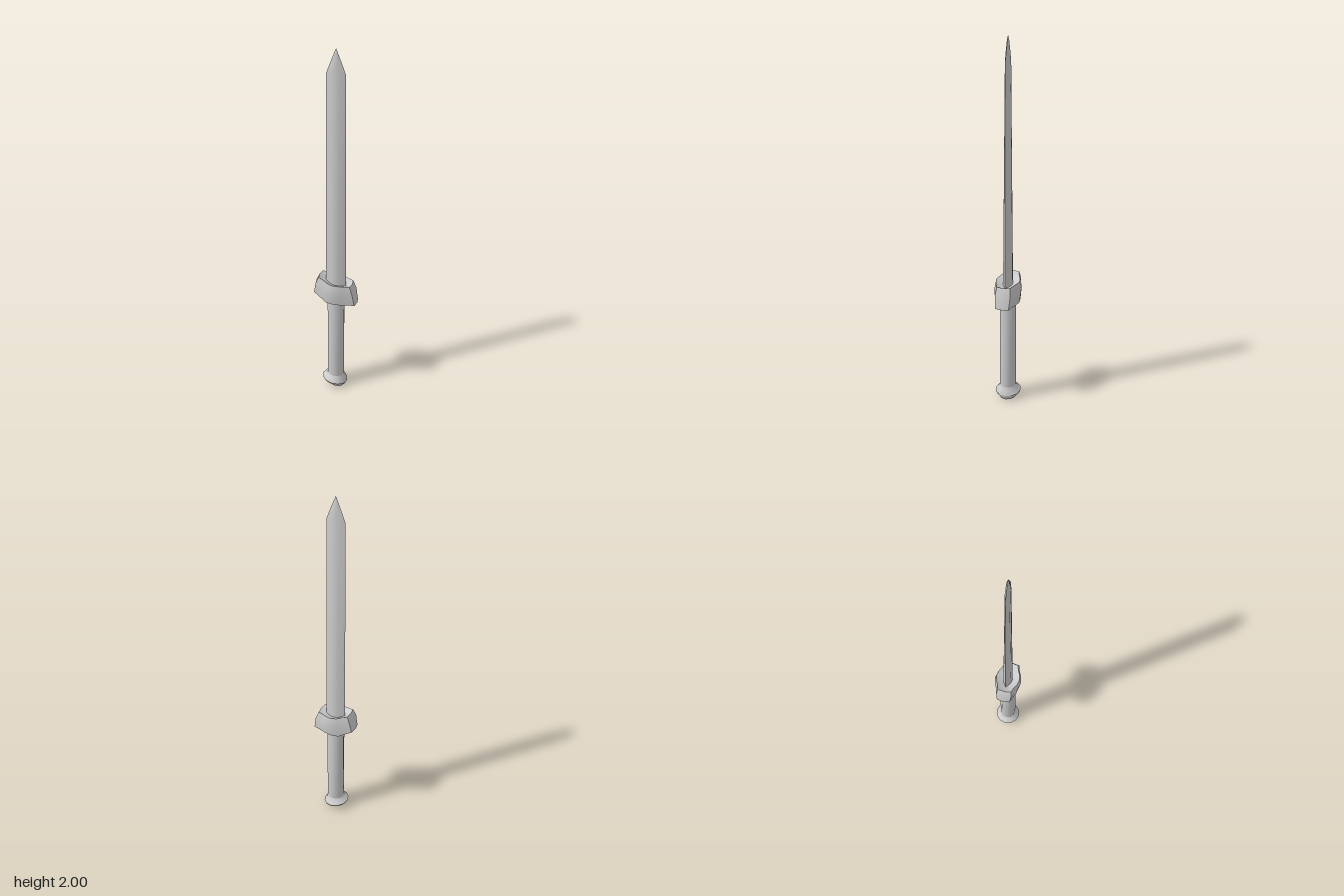
import * as THREE from 'three';
import { toCreasedNormals } from 'three/addons/utils/BufferGeometryUtils.js';

const material = new THREE.MeshStandardMaterial({ color: 0xcccccc, side: THREE.DoubleSide });

// Mirrors a quarter outline (from +x to the z axis) into a full ring, seen from above
function fullRing(quarter) {
  const ring = [];
  const half = [...quarter, ...quarter.slice(0, -1).reverse().map(([x, z]) => [-x, z])];
  half.forEach(([x, z]) => ring.push([x, -z]));
  half.slice(1, -1).reverse().forEach(([x, z]) => ring.push([x, z]));
  return ring;
}

// Skins rings of Vector3 from bottom to top, outward facing
function loft(name, rings, crease) {
  const pos = [];
  const tri = (a, b, c) => {
    if (a.distanceTo(b) < 1e-5 || b.distanceTo(c) < 1e-5 || c.distanceTo(a) < 1e-5) return;
    [a, b, c].forEach((p) => pos.push(p.x, p.y, p.z));
  };
  for (let i = 0; i < rings.length - 1; i++) {
    const lo = rings[i], hi = rings[i + 1], n = lo.length;
    for (let j = 0; j < n; j++) {
      const k = (j + 1) % n;
      tri(lo[j], lo[k], hi[k]);
      tri(lo[j], hi[k], hi[j]);
    }
  }
  const geometry = new THREE.BufferGeometry();
  geometry.setAttribute('position', new THREE.Float32BufferAttribute(pos, 3));
  const mesh = new THREE.Mesh(toCreasedNormals(geometry, crease), material);
  mesh.name = name;
  return mesh;
}

// Scales a ring and sets its height by a rule of x
const section = (ring, sx, sz, height, dx = 0) => ring.map(([x, z]) =>
  new THREE.Vector3(x * sx + dx, height(x * sx + dx), z * sz));

// Straight interpolation through [x, y] pairs
const slope = (points) => (x) => {
  let i = 0;
  while (i < points.length - 2 && x > points[i + 1][0]) i++;
  const [a, b] = [points[i], points[i + 1]];
  return THREE.MathUtils.mapLinear(x, a[0], b[0], a[1], b[1]);
};

export function createModel() {
  const model = new THREE.Group();
  const circle = fullRing([0, 1, 2, 3].map((i) => [Math.cos(i * Math.PI / 6), Math.sin(i * Math.PI / 6)]));

  // Blade: a tapering lens section with sharp edges and a narrow point
  const lens = fullRing([[1, 0], [0.36, 0.85], [0, 1]]);
  const blade = [
    [0.62, 0.057, 0.026], [1.87, 0.05, 0.013], [1.92, 0.032, 0.01],
    [1.97, 0.012, 0.006], [2, 0, 0],
  ].map(([y, sx, sz]) => section(lens, sx, sz, () => y));
  model.add(loft('blade', blade, 0.6));

  // Guard: faceted lopsided collar, its top scooped towards the blade
  const outline = fullRing([[0.121, 0], [0.114, 0.042], [0.08, 0.05], [0.042, 0.066], [0, 0.074]]);
  const under = slope([[-0.12, 0.622], [-0.045, 0.578], [0.12, 0.572]]);
  const rim = slope([[-0.093, 0.72], [-0.03, 0.7], [0.09, 0.686]]);
  const middle = (x) => THREE.MathUtils.lerp(under(x), rim(x), 0.62);
  model.add(loft('guard', [
    section(outline, 0, 0, () => 0.59),
    section(outline, 0.35, 0.55, () => 0.588),
    section(outline, 1, 0.87, under),
    section(outline, 0.9, 1, middle),
    section(outline, 0.76, 0.88, rim),
    section(outline, 0.46, 0.36, (x) => rim(x) - 0.02),
    section(outline, 0, 0, () => 0.67),
  ], 0.6));

  // Grip: plain round handle
  const grip = [[0.05, 0.047], [0.6, 0.047]].map(([y, r]) => section(circle, r, r * 0.96, () => y));
  model.add(loft('grip', grip, 0.9));

  // Pommel: flared, tilted cap
  const tilt = (y, k) => (x) => y - k * x;
  model.add(loft('pommel', [
    section(circle, 0, 0, tilt(0.009, 0.14), 0.005),
    section(circle, 0.046, 0.045, tilt(0.011, 0.15), 0.005),
    section(circle, 0.067, 0.066, tilt(0.033, 0.16), -0.004),
    section(circle, 0.07, 0.07, tilt(0.042, 0.17), -0.005),
    section(circle, 0.053, 0.053, tilt(0.061, 0.12), -0.001),
    section(circle, 0.047, 0.045, tilt(0.078, 0.05)),
  ], 0.75));

  return model;
}
